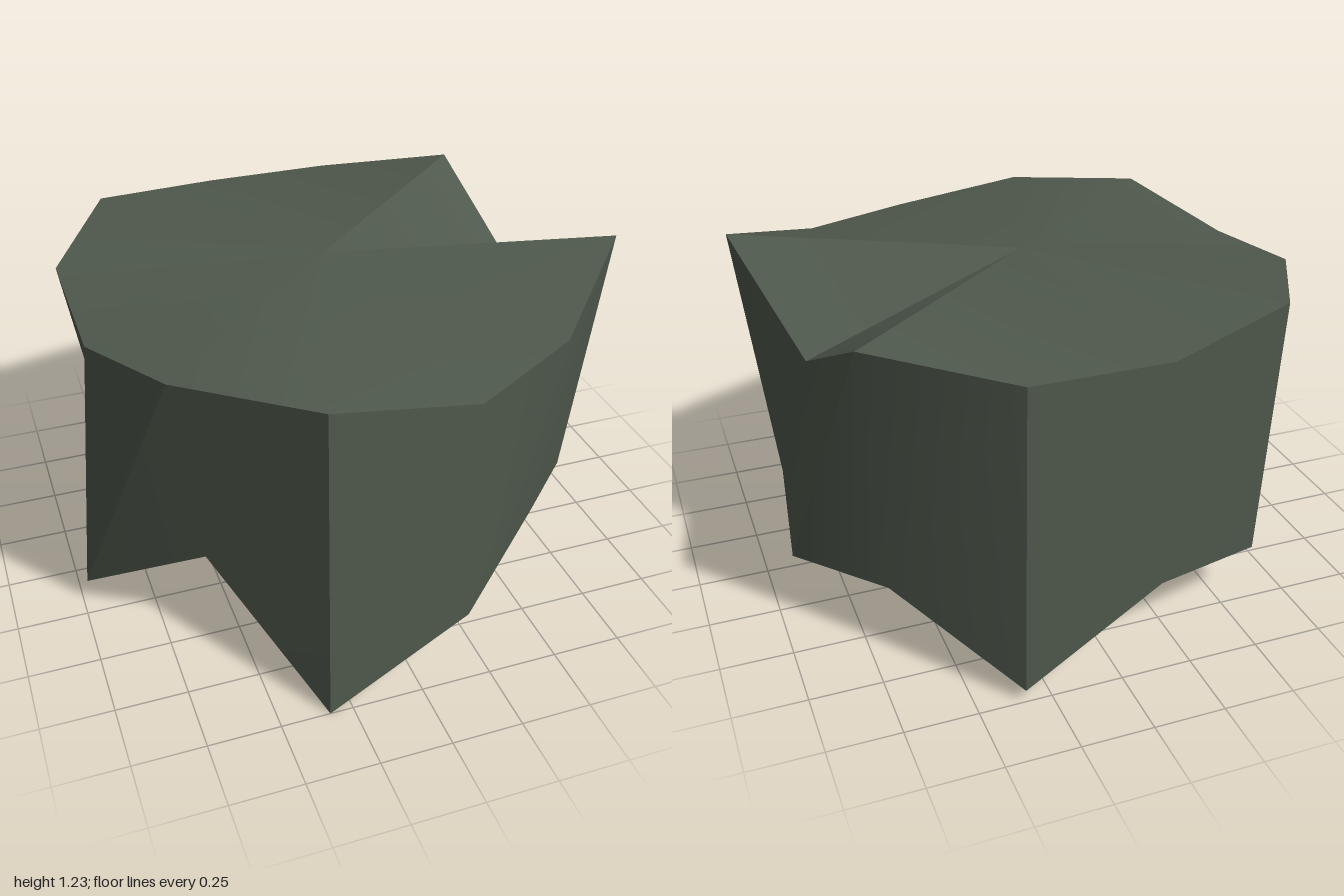
import * as THREE from 'three';
import { toCreasedNormals } from 'three/addons/utils/BufferGeometryUtils.js';

// Irregular rings, clockwise seen from above, starting on the left side
const topRing = [
  [0.98, 1.225, 0.31], [0.61, 1.07, 0.68], [0.2, 1.045, 0.9], [-0.3, 1.11, 0.89],
  [-0.72, 1.14, 0.62], [-0.89, 1.05, 0.16], [-0.9, 1.11, -0.32], [-0.65, 1.16, -0.76],
  [-0.17, 1.105, -0.92], [0.31, 1.105, -0.92], [0.76, 1.185, -0.68], [0.82, 0.93, -0.18],
];
const bottomRing = [
  [0.87, 0.25, 0.28], [0.57, 0.34, 0.62], [0.2, 0.2, 0.91], [-0.33, 0, 1],
  [-0.61, 0.37, 0.52], [-0.98, 0.09, 0.18], [-0.78, 0.37, -0.29], [-0.62, 0.2, -0.73],
  [-0.18, 0.27, -0.9], [0.34, 0.045, -1], [0.68, 0.26, -0.6], [0.93, 0.185, -0.2],
];
const topCentre = [0, 1.165, -0.02];
const bottomCentre = [0, 0.52, 0];

// Calls fn(i, next) for every step round the ring and smooths the shallow edges
function ringGeometry(fn) {
  const corners = topRing.flatMap((_, i) => fn(i, (i + 1) % topRing.length));
  const geometry = new THREE.BufferGeometry();
  geometry.setAttribute('position', new THREE.Float32BufferAttribute(corners.flat(), 3));
  return toCreasedNormals(geometry, Math.PI / 6);
}

export function createModel() {
  const group = new THREE.Group();
  group.name = 'rockBlock';
  const stone = new THREE.MeshStandardMaterial({ color: 0x4f584c });
  stone.name = 'dark grey green stone';

  const add = (name, fn) => {
    const mesh = new THREE.Mesh(ringGeometry(fn), stone);
    mesh.name = name;
    group.add(mesh);
  };

  // Uneven top with one sunken wedge
  add('topFace', (i, j) => [topCentre, topRing[j], topRing[i]]);

  // Side wall between the rings
  add('sideWall', (i, j) => [
    topRing[i], topRing[j], bottomRing[j],
    topRing[i], bottomRing[j], bottomRing[i],
  ]);

  // Hollow, jagged underside
  add('underside', (i, j) => [bottomCentre, bottomRing[i], bottomRing[j]]);

  return group;
}
